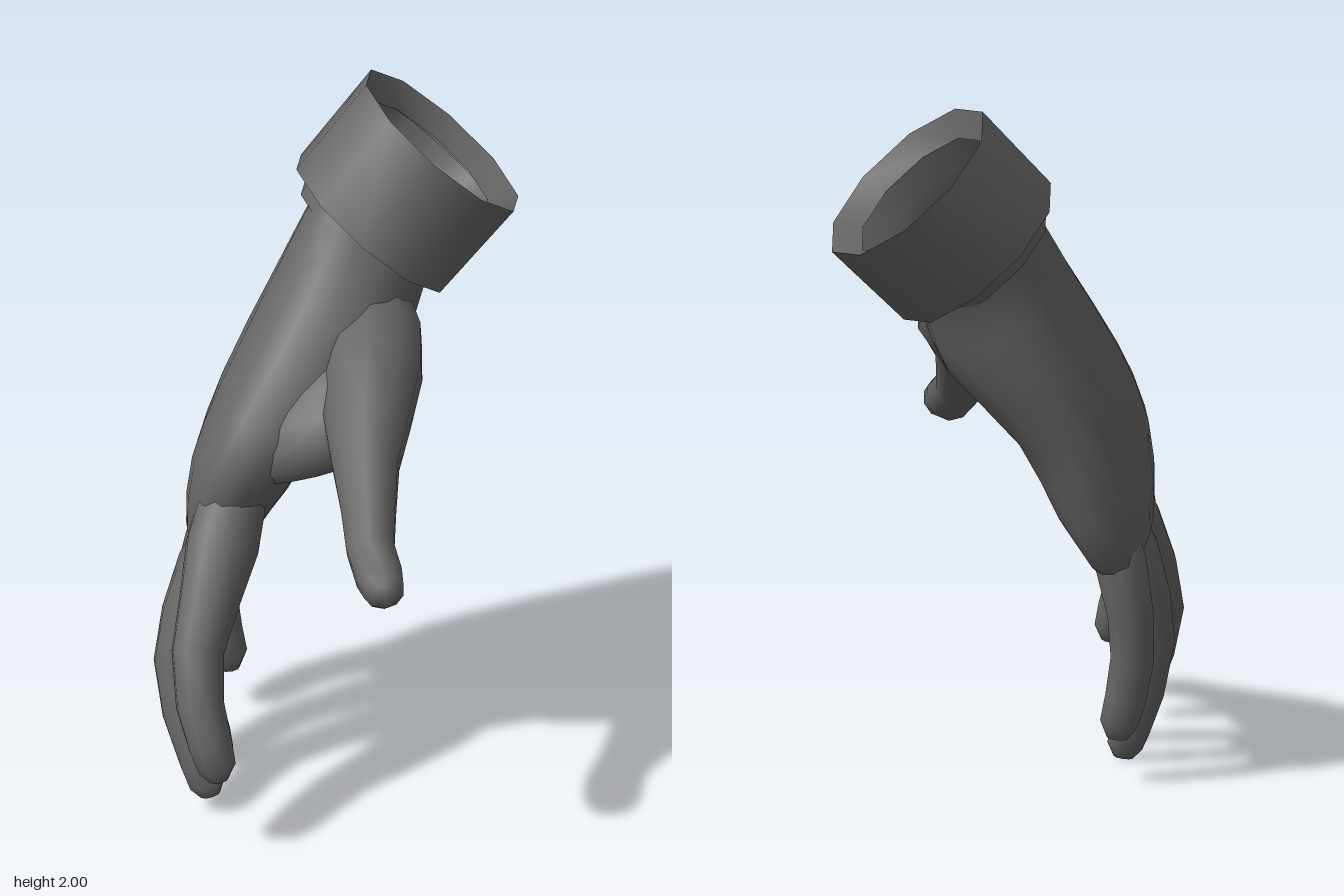
import * as THREE from 'three';
import { toCreasedNormals } from 'three/addons/utils/BufferGeometryUtils.js';

const V = (x, y, z) => new THREE.Vector3(x, y, z);
const material = new THREE.MeshStandardMaterial({ color: 0x666666, side: THREE.DoubleSide });

// Smooth skin over cross-sections { c: centre, u, v: half axes }, where u x v points along the path
function loft(sections, sides, capStart, capEnd, power = 1) {
  const pos = [], index = [];
  const bend = (k) => Math.sign(k) * Math.abs(k) ** power;
  for (const { c, u, v } of sections) {
    for (let j = 0; j < sides; j++) {
      const a = (j / sides) * Math.PI * 2;
      const p = c.clone().addScaledVector(u, bend(Math.cos(a))).addScaledVector(v, bend(Math.sin(a)));
      pos.push(p.x, p.y, p.z);
    }
  }
  for (let i = 0; i < sections.length - 1; i++) {
    for (let j = 0; j < sides; j++) {
      const k = (j + 1) % sides;
      const a = i * sides + j, b = i * sides + k, d = a + sides, e = b + sides;
      index.push(a, b, d, b, e, d);
    }
  }
  const cap = (row, flip) => {
    const centre = pos.length / 3;
    pos.push(...sections[row].c.toArray());
    for (let j = 0; j < sides; j++) {
      const a = row * sides + j, b = row * sides + ((j + 1) % sides);
      index.push(...(flip ? [b, a, centre] : [a, b, centre]));
    }
  };
  if (capStart) cap(0, true);
  if (capEnd) cap(sections.length - 1, false);
  const geometry = new THREE.BufferGeometry();
  geometry.setAttribute('position', new THREE.Float32BufferAttribute(pos, 3));
  geometry.setIndex(index);
  geometry.computeVertexNormals();
  return geometry;
}

// Finger from rows of [x, y, z, radius], with the ring planes following the path
function finger(rows, sides = 9) {
  const points = rows.map(([x, y, z]) => V(x, y, z));
  const sections = rows.map((row, i) => {
    const t = points[Math.min(i + 1, rows.length - 1)].clone().sub(points[Math.max(i - 1, 0)]).normalize();
    const v = V(1, 0, 0).addScaledVector(t, -t.x).normalize();
    const u = v.clone().cross(t);
    return { c: points[i], u: u.multiplyScalar(row[3]), v: v.multiplyScalar(row[3]) };
  });
  return loft(sections, sides, true, true);
}

// Palm from knuckles up through the wrist to the open end inside the cuff: centre, half width, half thickness
function palm() {
  const keys = [
    [V(-0.31, 0.67, -0.05), V(0.0, 0.05, 0.27), V(0.07, -0.01, 0)],
    [V(-0.315, 0.73, -0.05), V(0.0, 0.09, 0.31), V(0.1, -0.02, 0)],
    [V(-0.265, 0.9, -0.055), V(0.0, 0.125, 0.36), V(0.135, -0.05, 0.02)],
    [V(-0.17, 1.11, -0.095), V(0.0, 0.08, 0.36), V(0.155, -0.07, 0.03)],
    [V(0.0, 1.36, -0.21), V(0.0, 0.1, 0.28), V(0.19, -0.09, 0.05)],
    [V(0.07, 1.52, -0.29), V(0.0, 0.1, 0.22), V(0.17, -0.11, 0.04)],
    [V(0.13, 1.64, -0.36), V(0.01, 0.06, 0.205), V(0.16, -0.13, 0.03)],
    [V(0.237, 1.756, -0.418), V(0.01, 0.062, 0.226), V(0.18, -0.145, 0.034)],
  ];
  const [cs, us, vs] = [0, 1, 2].map((k) => new THREE.CatmullRomCurve3(keys.map((s) => s[k])));
  const steps = 14, sections = [];
  for (let i = 0; i <= steps; i++) {
    const t = i / steps;
    sections.push({ c: cs.getPoint(t), u: us.getPoint(t), v: vs.getPoint(t) });
  }
  return loft(sections, 20, true, false, 0.82);
}

// Fold of skin joining the palm edge to the thumb
function web() {
  return loft([
    { c: V(-0.27, 1.04, 0.03), u: V(0, 0.1, 0), v: V(0, -0.02, 0.15) },
    { c: V(-0.18, 1.12, 0.07), u: V(0, 0.14, 0), v: V(0, -0.04, 0.19) },
    { c: V(-0.1, 1.17, 0.09), u: V(0, 0.15, 0), v: V(0, -0.06, 0.205) },
    { c: V(-0.01, 1.21, 0.105), u: V(0, 0.15, 0), v: V(0, -0.07, 0.2) },
    { c: V(0.08, 1.25, 0.11), u: V(0, 0.14, 0), v: V(0, -0.08, 0.2) },
    { c: V(0.17, 1.29, 0.08), u: V(0, 0.1, 0), v: V(0, -0.07, 0.14) },
  ], 14, true, true);
}

// Ten-sided ring with a slightly leaning axis, from a [radius, height] profile
function ring(profile) {
  const y = V(0.63, 0.74, -0.22).normalize();
  const z = V(0.02, 0.165, 0.6);
  z.addScaledVector(y, -z.dot(y)).normalize();
  const x = y.clone().cross(z).multiplyScalar(0.96);
  const lean = V(0.635, 0.726, -0.355);
  const lathe = new THREE.LatheGeometry(profile.map(([r, h]) => new THREE.Vector2(r, h)), 10);
  lathe.applyMatrix4(new THREE.Matrix4().makeBasis(x, lean, z).setPosition(0.08, 1.575, -0.332));
  return toCreasedNormals(lathe, 0.8);
}

export function createModel() {
  const group = new THREE.Group();
  const add = (name, geometry) => {
    const mesh = new THREE.Mesh(geometry, material);
    mesh.name = name;
    group.add(mesh);
  };

  add('palm', palm());
  add('thumbWeb', web());

  // Thumb with its fleshy base
  add('thumb', finger([
    [0.05, 1.47, -0.29, 0.07], [0.09, 1.41, -0.17, 0.12], [0.115, 1.36, -0.06, 0.148],
    [0.125, 1.31, 0.06, 0.153], [0.13, 1.23, 0.23, 0.13], [0.14, 1.15, 0.35, 0.1],
    [0.16, 1.07, 0.46, 0.083], [0.175, 0.995, 0.55, 0.073], [0.21, 0.945, 0.63, 0.071],
    [0.23, 0.932, 0.69, 0.06], [0.235, 0.935, 0.728, 0.035],
  ], 10));

  add('indexFinger', finger([
    [-0.23, 1.06, 0.1, 0.05], [-0.265, 0.93, 0.2, 0.1], [-0.285, 0.83, 0.28, 0.108], [-0.31, 0.71, 0.38, 0.09],
    [-0.335, 0.58, 0.475, 0.077], [-0.32, 0.45, 0.55, 0.071], [-0.285, 0.34, 0.593, 0.065],
    [-0.265, 0.275, 0.602, 0.056], [-0.26, 0.238, 0.603, 0.03],
  ]));

  add('middleFinger', finger([
    [-0.3, 0.85, 0.1, 0.05], [-0.345, 0.69, 0.145, 0.085], [-0.4, 0.55, 0.195, 0.072],
    [-0.422, 0.42, 0.24, 0.067], [-0.395, 0.28, 0.29, 0.064], [-0.345, 0.15, 0.335, 0.06],
    [-0.32, 0.085, 0.352, 0.055], [-0.31, 0.05, 0.356, 0.03],
  ]));

  add('ringFinger', finger([
    [-0.3, 0.82, -0.08, 0.05], [-0.35, 0.65, -0.06, 0.082], [-0.395, 0.5, -0.025, 0.07],
    [-0.41, 0.37, 0.005, 0.065], [-0.38, 0.21, 0.04, 0.062], [-0.34, 0.09, 0.067, 0.058],
    [-0.325, 0.04, 0.075, 0.052], [-0.32, 0.005, 0.075, 0.028],
  ]));

  add('littleFinger', finger([
    [-0.29, 0.84, -0.26, 0.05], [-0.33, 0.66, -0.275, 0.077], [-0.36, 0.5, -0.275, 0.068],
    [-0.365, 0.37, -0.27, 0.064], [-0.345, 0.25, -0.265, 0.061], [-0.325, 0.175, -0.26, 0.056],
    [-0.32, 0.13, -0.26, 0.03],
  ]));

  // Thick cuff whose bevelled rim meets the open end of the wrist
  add('cuff', ring([[0.22, 0], [0.3, 0], [0.308, 0.31], [0.24, 0.25]]));

  // Narrow band peeking out below the cuff
  add('wristBand', ring([[0.21, -0.05], [0.235, -0.05], [0.25, 0.02]]));

  return group;
}
